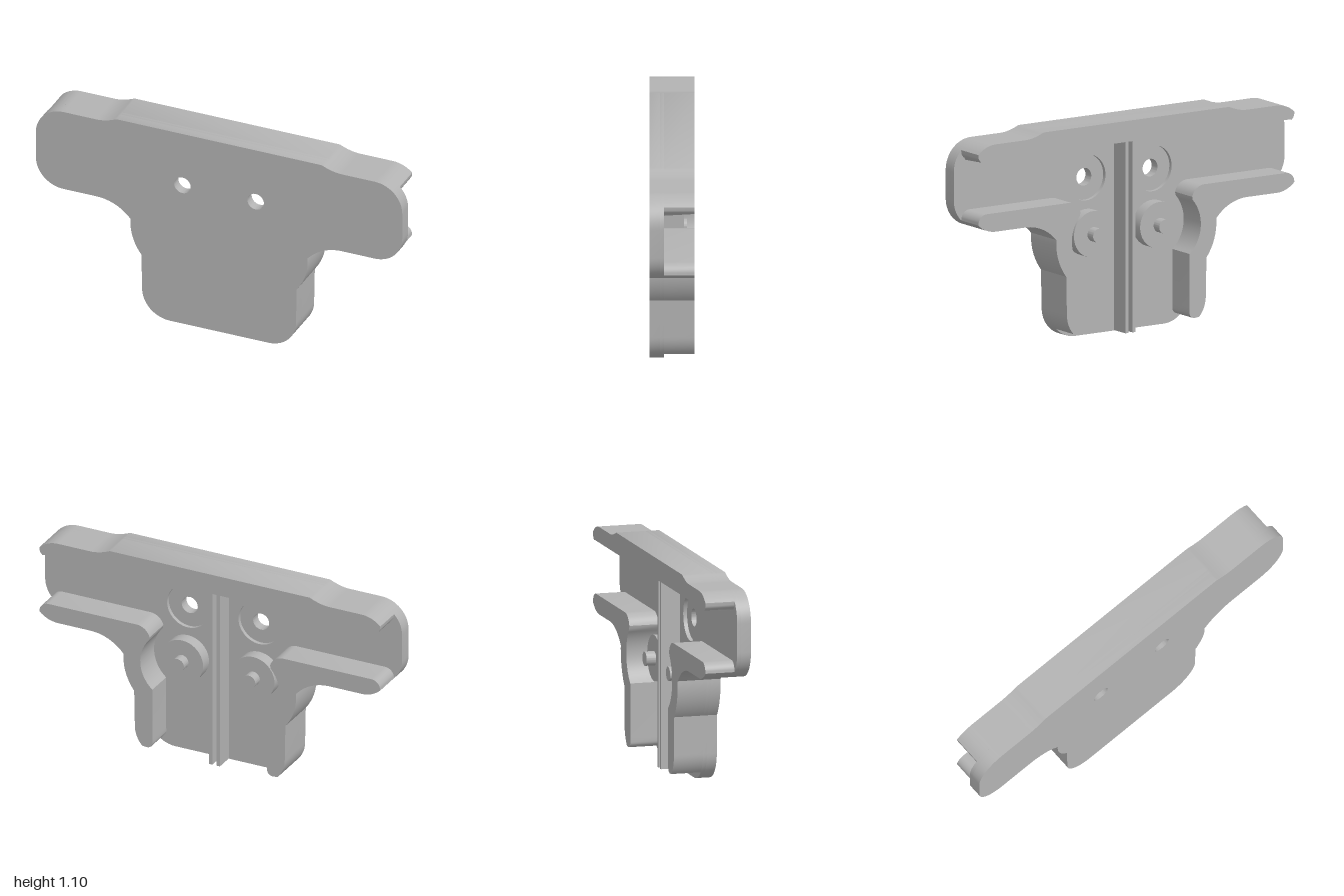
import * as THREE from 'three';
import { toCreasedNormals } from 'three/addons/utils/BufferGeometryUtils.js';

const BACK = -0.112, FLOOR = 0.04, FRONT = 0.112;

// Points along an arc; angles in degrees
function arc(cx, cy, r, from, to, n = 14) {
  return Array.from({ length: n + 1 }, (_, i) => {
    const a = THREE.MathUtils.degToRad(from + (to - from) * i / n);
    return new THREE.Vector2(cx + r * Math.cos(a), cy + r * Math.sin(a));
  });
}
const pt = (x, y) => new THREE.Vector2(x, y);
const flip = (pts) => pts.map((p) => pt(-p.x, p.y)).reverse();

function slab(pts, z0, z1, holes = []) {
  const shape = new THREE.Shape(pts);
  for (const [x, y, r] of holes) {
    shape.holes.push(new THREE.Path().absarc(x, y, r, 0, Math.PI * 2, true));
  }
  const g = new THREE.ExtrudeGeometry(shape, { depth: z1 - z0, bevelEnabled: false, curveSegments: 24 });
  g.translate(0, 0, z0);
  return g;
}

export function createModel() {
  const model = new THREE.Group();
  model.name = 'bracketCover';
  const grey = new THREE.MeshStandardMaterial({ color: 0xb3b3b3 });
  grey.name = 'plain grey';

  const add = (name, geometry) => {
    const mesh = new THREE.Mesh(toCreasedNormals(geometry, 0.5), grey);
    mesh.name = name;
    model.add(mesh);
  };

  // Shared outline pieces of the right half
  const bulge = arc(0.2, 0.52, 0.284, -38, 4);
  const armpit = arc(0.67, 0.381, 0.244, 139, 90);
  const shoulder = new THREE.QuadraticBezierCurve(pt(0.67, 1.07), pt(0.62, 1.07), pt(0.56, 1.097)).getPoints(8);

  // T-shaped plate; its back layer has wider holes that form the counterbores
  const half = [
    ...arc(0.27, 0.15, 0.15, -90, 0), ...bulge, ...armpit,
    ...arc(0.85, 0.775, 0.15, -90, 0), ...arc(0.85, 0.92, 0.15, 0, 90), ...shoulder,
  ];
  const outline = [...half, ...flip(half)];
  const holes = (r) => [[-0.2, 0.8, r], [0.2, 0.8, r]];
  add('frontPlate', slab(outline, 0.06, FRONT, holes(0.045)));
  add('counterborePlate', slab(outline, FLOOR, 0.06, holes(0.117)));

  // Top wall with rounded ends and a slightly sloping underside
  const topHalf = [...arc(0.915, 1.02, 0.04, -90, 0, 8), ...arc(0.85, 0.92, 0.15, 45.6, 90), ...shoulder];
  const top = slab([...topHalf, ...flip(topHalf)], BACK, FLOOR);
  const p = top.attributes.position;
  for (let i = 0; i < p.count; i++) {
    if (p.getY(i) < 0.985) p.setY(i, 0.975 + (FLOOR - p.getZ(i)) * 0.1);
  }
  top.computeVertexNormals();
  add('topWall', top);

  // Side walls: arm, curve around the boss, then leg
  const wall = [
    ...arc(0.27, 0.15, 0.15, -43, 0, 8), ...bulge, ...armpit,
    ...arc(0.85, 0.775, 0.15, -90, -45.6, 8), ...arc(0.905, 0.67, 0.05, 0, 90, 8),
    ...arc(0.41, 0.645, 0.075, 90, 165, 8),
    ...arc(0.2, 0.52, 0.19, 42, -50), pt(0.322, 0.1), ...arc(0.351, 0.075, 0.03, 180, 270, 6),
  ];
  add('rightWall', slab(wall, BACK, FLOOR));
  add('leftWall', slab(flip(wall), BACK, FLOOR));

  // Central rail: a base with two fins and a groove between them
  const box = (name, w, h, d, x, y, z) => add(name, new THREE.BoxGeometry(w, h, d).translate(x, y, z));
  box('railBase', 0.06, 0.98, 0.05, 0, 0.492, 0.015);
  for (const s of [-1, 1]) box('railFin', 0.018, 0.98, 0.05, s * 0.021, 0.492, -0.035);

  // Round bosses with pins
  const disc = (name, r, x, y, z0, z1) =>
    add(name, new THREE.CylinderGeometry(r, r, z1 - z0, 40).rotateX(Math.PI / 2).translate(x, y, (z0 + z1) / 2));
  for (const s of [-1, 1]) {
    disc('boss', 0.118, s * 0.2, 0.522, -0.025, FLOOR);
    disc('bossPin', 0.036, s * 0.2, 0.522, -0.075, -0.025);
  }
  return model;
}
